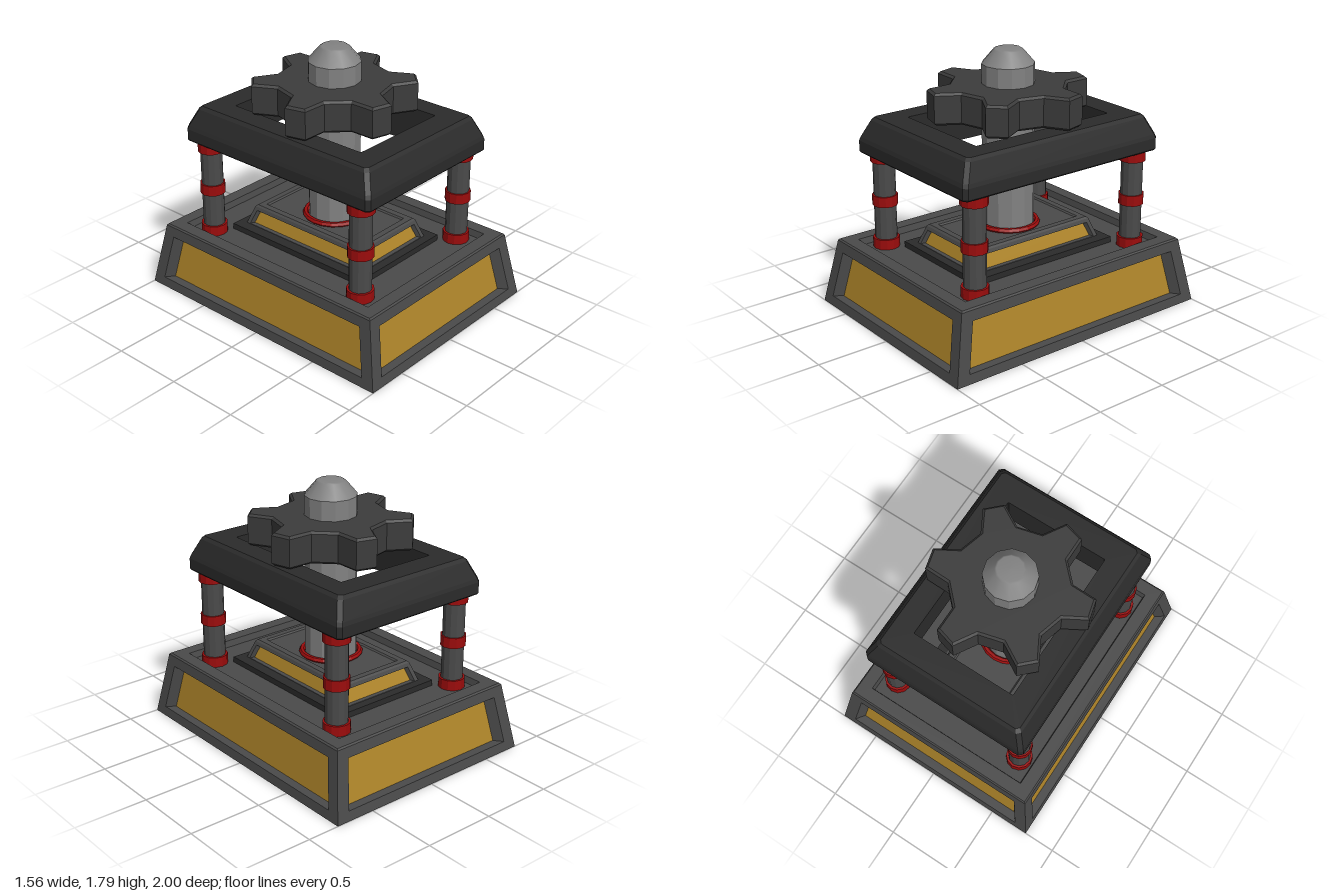
import * as THREE from 'three';

const mat = (color, flatShading = true) => new THREE.MeshStandardMaterial({ color, flatShading });
const GREY = mat(0x4a4a4a), BLACK = mat(0x2b2b2b), GOLD = mat(0xb0862a), RED = mat(0x9c0c0c);
const STEEL = mat(0x828282), STEEL_SMOOTH = mat(0x828282, false), GEAR = mat(0x3c3c3c);

const lerp = THREE.MathUtils.lerp;

// Horizontal rectangle with chamfered corners, counter-clockwise from above
function rect(hx, hz, y, c = 0) {
  if (!c) return [[hx, y, hz], [hx, y, -hz], [-hx, y, -hz], [-hx, y, hz]];
  return [
    [hx, y, hz - c], [hx, y, -hz + c], [hx - c, y, -hz], [-hx + c, y, -hz],
    [-hx, y, -hz + c], [-hx, y, hz - c], [-hx + c, y, hz], [hx - c, y, hz],
  ];
}

// Joins successive loops with quads; optional caps on the first and last loop
function loft(loops, capStart = false, capEnd = false) {
  const pos = [];
  const tri = (a, b, c) => pos.push(...a, ...b, ...c);
  const fan = (l) => { for (let i = 1; i < l.length - 1; i++) tri(l[0], l[i], l[i + 1]); };
  for (let k = 0; k < loops.length - 1; k++) {
    const a = loops[k], b = loops[k + 1];
    a.forEach((p, i) => {
      const j = (i + 1) % a.length;
      tri(p, a[j], b[j]);
      tri(p, b[j], b[i]);
    });
  }
  if (capStart) fan([...loops[0]].reverse());
  if (capEnd) fan(loops[loops.length - 1]);
  const g = new THREE.BufferGeometry();
  g.setAttribute('position', new THREE.Float32BufferAttribute(pos, 3));
  g.computeVertexNormals();
  return g;
}

function add(parent, name, geometry, material, x = 0, y = 0, z = 0) {
  const m = new THREE.Mesh(geometry, material);
  m.name = name;
  m.position.set(x, y, z);
  parent.add(m);
  return m;
}

// Tapered block with a recessed gold panel on each side and a sunken top
function panelledBlock(name, o) {
  const group = new THREE.Group();
  group.name = name;
  const [bx, bz] = o.bottom, [tx, tz] = o.top, { y0, y1 } = o;
  for (let k = 0; k < 4; k++) {
    const odd = k % 2;
    const w = (y) => lerp(odd ? bz : bx, odd ? tz : tx, (y - y0) / (y1 - y0));
    const n = (y) => lerp(odd ? bx : bz, odd ? tx : tz, (y - y0) / (y1 - y0));
    const loop = (ya, yb, inset, depth) => [
      [-w(ya) + inset, ya, n(ya) - depth], [w(ya) - inset, ya, n(ya) - depth],
      [w(yb) - inset, yb, n(yb) - depth], [-w(yb) + inset, yb, n(yb) - depth],
    ];
    const inner = loop(o.open[0], o.open[1], o.border + o.reveal, o.depth);
    const frame = loft([loop(y0, y1, 0, 0), loop(o.open[0], o.open[1], o.border, 0), inner]);
    add(group, 'panelFrame', frame, GREY).rotation.y = k * Math.PI / 2;
    add(group, 'goldPanel', loft([inner], false, true), GOLD).rotation.y = k * Math.PI / 2;
  }
  // Small top bevel, rim and sunken floor
  const b = o.bevel, r = o.rim;
  add(group, 'blockTop', loft([
    rect(tx, tz, y1), rect(tx - b, tz - b, y1 + b),
    rect(tx - r, tz - r, y1 + b), rect(tx - r - 0.01, tz - r - 0.01, o.floor),
  ], false, true), GREY);
  add(group, 'blockBottom', loft([rect(bx, bz, y0)], true), GREY);
  return group;
}

function gearGeometry(y0, y1) {
  const shape = new THREE.Shape();
  const bevel = 0.015;
  const teeth = 6;
  for (let i = 0; i < teeth; i++) {
    const a = THREE.MathUtils.degToRad(14.5 + i * 60);
    // Radius and half width of each tooth corner
    [[0.36, -0.105], [0.52, -0.06], [0.52, 0.06], [0.36, 0.105]].forEach(([r, h], j) => {
      const x = r * Math.cos(a) - h * Math.sin(a), y = r * Math.sin(a) + h * Math.cos(a);
      if (i + j === 0) shape.moveTo(x, y); else shape.lineTo(x, y);
    });
  }
  shape.closePath();
  const g = new THREE.ExtrudeGeometry(shape, {
    depth: y1 - y0 - 2 * bevel, bevelEnabled: true, bevelSize: bevel, bevelThickness: bevel, bevelSegments: 1,
  });
  g.rotateX(-Math.PI / 2);
  g.translate(0, y0 + bevel, 0);
  return g;
}

export function createModel() {
  const model = new THREE.Group();
  model.name = 'gearPress';

  // Base, step and pedestal
  model.add(panelledBlock('base', {
    bottom: [0.78, 1], top: [0.71, 0.91], y0: 0, y1: 0.45, open: [0.063, 0.383],
    border: 0.088, reveal: 0.045, depth: 0.06, bevel: 0.01, rim: 0.1, floor: 0.415,
  }));
  add(model, 'step', loft([rect(0.4, 0.575, 0.41), rect(0.4, 0.575, 0.455)], false, true), BLACK);
  model.add(panelledBlock('pedestal', {
    bottom: [0.33, 0.52], top: [0.285, 0.47], y0: 0.445, y1: 0.58, open: [0.458, 0.556],
    border: 0.03, reveal: 0.015, depth: 0.03, bevel: 0.012, rim: 0.055, floor: 0.582,
  }));

  // Corner posts with three red collars
  for (const sx of [-1, 1]) for (const sz of [-1, 1]) {
    const post = new THREE.Group();
    post.name = 'cornerPost';
    post.position.set(sx * 0.5, 0, sz * 0.655);
    add(post, 'postShaft', new THREE.CylinderGeometry(0.075, 0.075, 0.68, 12), GREY, 0, 0.75, 0);
    for (const [y0, y1, r] of [[0.415, 0.485, 0.09], [0.717, 0.79, 0.086], [1.025, 1.092, 0.09]])
      add(post, 'collar', new THREE.CylinderGeometry(r, r, y1 - y0, 12), RED, 0, (y0 + y1) / 2, 0);
    model.add(post);
  }

  // Upper frame with a rectangular opening
  add(model, 'upperFrame', loft([
    rect(0.37, 0.54, 1.09, 0.005), rect(0.59, 0.785, 1.09, 0.02), rect(0.598, 0.793, 1.1, 0.025),
    rect(0.598, 0.793, 1.175, 0.025), rect(0.59, 0.785, 1.2, 0.025), rect(0.541, 0.732, 1.315, 0.025),
    rect(0.52, 0.71, 1.335, 0.02), rect(0.37, 0.54, 1.335, 0.005), rect(0.37, 0.54, 1.09, 0.005),
  ]), BLACK);

  // Central shaft with rounded tip and red base ring
  add(model, 'shaft', new THREE.CylinderGeometry(0.175, 0.175, 1.11, 12, 1, true), STEEL, 0, 1.135, 0);
  const tip = [[0.175, 1.69], [0.098, 1.78], [0.085, 1.788], [0, 1.79]].map((p) => new THREE.Vector2(...p));
  add(model, 'shaftTip', new THREE.LatheGeometry(tip, 12), STEEL_SMOOTH);
  const ring = new THREE.TorusGeometry(0.195, 0.02, 6, 20);
  ring.rotateX(Math.PI / 2);
  add(model, 'shaftRing', ring, RED, 0, 0.592, 0);

  // Gear
  add(model, 'gear', gearGeometry(1.345, 1.558), GEAR);
  return model;
}
